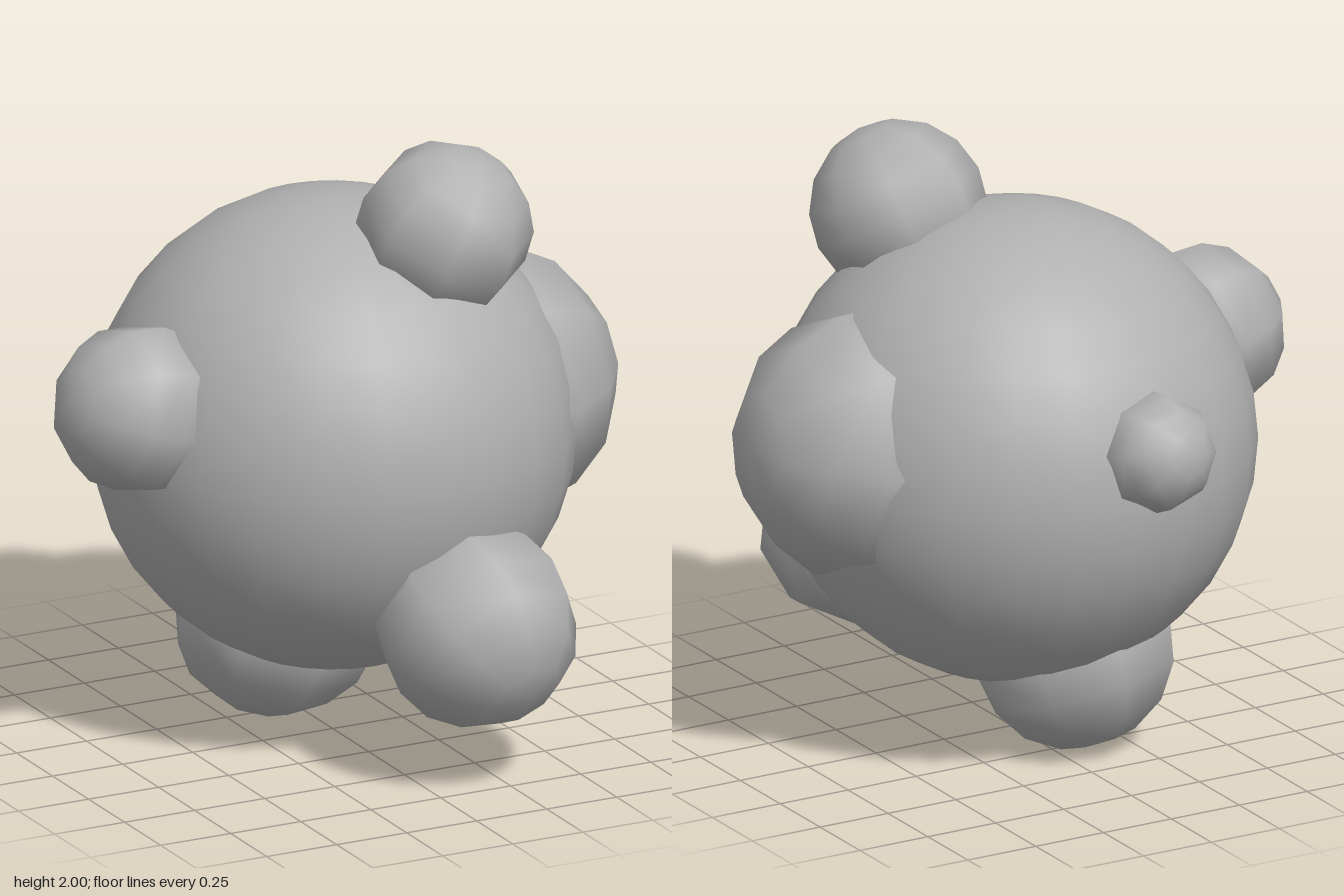
import * as THREE from 'three';

const UP = new THREE.Vector3(0, 1, 0);

export function createModel() {
  const group = new THREE.Group();
  const grey = new THREE.MeshStandardMaterial({ color: 0xb0b0b0 });
  grey.name = 'grey';

  // Smooth-shaded ball, rolled about its pole, with the pole along the given axis
  function ball(name, radius, center, axis, segments, rings, roll) {
    const mesh = new THREE.Mesh(new THREE.SphereGeometry(radius, segments, rings), grey);
    mesh.name = name;
    mesh.position.copy(center);
    mesh.quaternion.setFromUnitVectors(UP, axis.clone().normalize());
    mesh.rotateY(roll);
    group.add(mesh);
  }

  // Large central body
  const core = new THREE.Vector3(0.03, 1, -0.06);
  ball('body', 0.778, core, UP, 24, 16, 0);

  // Smaller eight-sided balls half sunk into the body, poles facing outward
  const half = Math.PI / 8;
  const bumps = [
    ['leftBump', 0.46, 0.53, 1.07, -0.045, 0],
    ['rightBump', 0.28, -0.705, 1.2, 0.03, 0],
    ['topBump', 0.285, 0.265, 1.72, 0.26, half],
    ['bottomBump', 0.345, -0.08, 0.345, -0.23, half],
    ['frontBump', 0.33, 0.18, 0.52, 0.645, half],
    ['backBump', 0.195, -0.07, 1.16, -0.78, 0],
  ];
  for (const [name, radius, x, y, z, roll] of bumps) {
    const center = new THREE.Vector3(x, y, z);
    ball(name, radius, center, center.clone().sub(core), 8, 8, roll);
  }
  return group;
}
